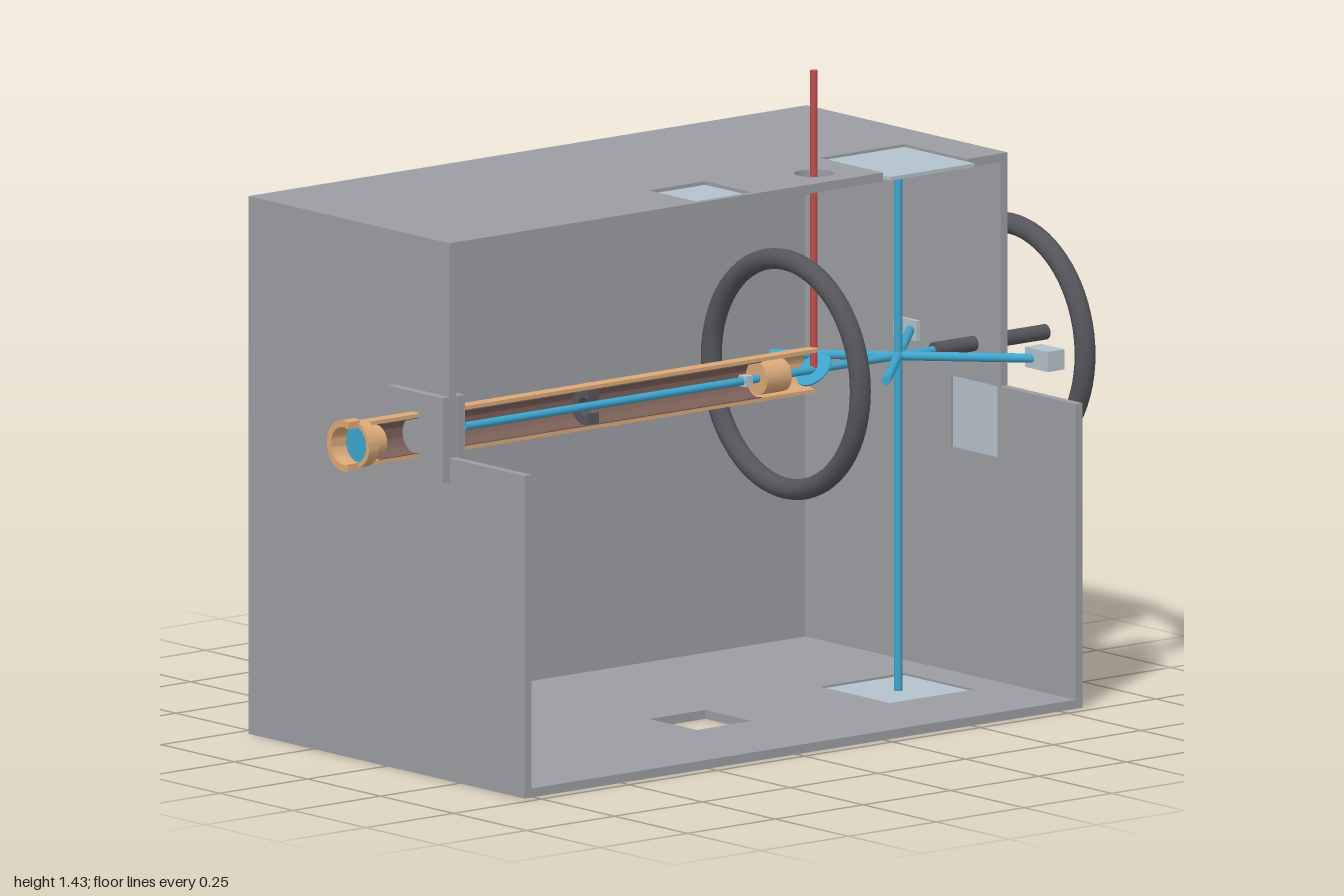
import * as THREE from 'three';
import { toCreasedNormals } from 'three/addons/utils/BufferGeometryUtils.js';

const CY = 0.762, CZ = 0.123; // optical axis height and depth

export function createModel() {
  const model = new THREE.Group();
  const mat = (name, color) => Object.assign(new THREE.MeshStandardMaterial({ color }), { name });
  const grey = mat('housingGrey', 0x9a9da2);
  const glass = mat('paleGlass', 0xb2c0ca);
  const dark = mat('darkRubber', 0x55545a);
  const copper = mat('copper', 0xd9a878);
  const brown = mat('innerBrown', 0x7a6058);
  const blue = mat('beamBlue', 0x3fa4cc);
  const red = mat('beamRed', 0xc04c4c);

  const add = (name, geo, material, x = 0, y = 0, z = 0) => {
    const mesh = new THREE.Mesh(geo, material);
    mesh.name = name;
    mesh.position.set(x, y, z);
    model.add(mesh);
    return mesh;
  };
  // Box given by its limits on each axis
  const box = (name, material, x0, x1, y0, y1, z0, z1) =>
    add(name, new THREE.BoxGeometry(x1 - x0, y1 - y0, z1 - z0), material, (x0 + x1) / 2, (y0 + y1) / 2, (z0 + z1) / 2);
  const poly = (pts) => new THREE.Shape(pts.map(([a, b]) => new THREE.Vector2(a, b)));
  const rect = (a0, a1, b0, b1) => poly([[a0, b0], [a1, b0], [a1, b1], [a0, b1]]);
  const extrude = (shape, depth) => new THREE.ExtrudeGeometry(shape, { depth, bevelEnabled: false, curveSegments: 32 });
  // Horizontal slab: outline in (x, -z)
  const slab = (name, shape, y) => add(name, extrude(shape, 0.02).rotateX(-Math.PI / 2), grey, 0, y, 0);
  // Side wall: outline in (z, y), growing towards -x from x
  const wall = (name, shape, x) => add(name, extrude(shape, 0.02).rotateY(-Math.PI / 2), grey, x, 0, 0);
  // Rod between two points
  const rod = (name, material, a, b, r) => {
    const p = new THREE.Vector3(...a), q = new THREE.Vector3(...b), d = q.clone().sub(p);
    const m = add(name, new THREE.CylinderGeometry(r, r, d.length(), 20), material);
    m.position.copy(p).add(q).multiplyScalar(0.5);
    m.quaternion.setFromUnitVectors(new THREE.Vector3(0, 1, 0), d.normalize());
    return m;
  };
  // Tube along x, cut open on its front
  const shell = (name, material, x0, x1, ro, ri, cut = 0.015) => {
    const a = Math.acos(cut / ro), b = Math.acos(cut / ri), s = new THREE.Shape();
    s.absarc(0, 0, ro, a, 2 * Math.PI - a, false);
    s.absarc(0, 0, ri, 2 * Math.PI - b, b, true);
    const g = toCreasedNormals(extrude(s, x1 - x0).rotateY(-Math.PI / 2), 0.6);
    return add(name, g, material, x1, CY, CZ);
  };

  // Housing
  const floor = rect(-0.775, 0.815, -0.472, 0.472);
  floor.holes.push(rect(-0.06, 0.1, -0.2, -0.04), rect(0.46, 0.7, -0.24, 0));
  slab('floor', floor, 0);
  const roof = poly([[-0.775, 0.472], [-0.775, -0.215], [0.46, -0.215], [0.46, 0], [0.7, 0], [0.7, -0.215], [0.815, -0.215], [0.815, 0.472]]);
  const rodHole = new THREE.Path();
  rodHole.absarc(0.34, -CZ, 0.043, 0, Math.PI * 2, true);
  roof.holes.push(rect(-0.06, 0.1, -0.2, -0.04), rodHole);
  slab('roof', roof, 1.18);
  box('backWall', grey, -0.755, 0.795, 0.02, 1.18, -0.472, -0.452);
  const side = (step) => poly([[-0.472, 0.02], [0.472, 0.02], [0.472, step], [0.215, step], [0.215, 1.18], [-0.472, 1.18]]);
  wall('leftEndWall', side(0.72), -0.755);
  const right = side(0.68);
  right.holes.push(rect(0.045, 0.205, 0.52, 0.679));
  wall('rightEndWall', right, 0.815);

  // Window panes
  box('roofSmallPane', glass, -0.06, 0.1, 1.184, 1.192, 0.04, 0.2);
  box('roofLargePane', glass, 0.46, 0.7, 1.186, 1.194, 0, 0.24);
  box('floorPane', glass, 0.46, 0.7, 0.007, 0.015, 0, 0.24);
  box('sidePane', glass, 0.801, 0.809, 0.52, 0.68, 0.045, 0.205);

  // Detector blocks on the side wall
  for (const z of [0.35, -0.1]) box('detectorBlock', glass, 0.785, 0.832, 0.74, 0.785, z - 0.039, z + 0.039);

  // Clamp plates holding the barrel
  for (const x of [-0.797, -0.755]) box('clampPlate', grey, x, x + 0.022, 0.667, 0.857, 0.03, 0.218);

  // Cut-open barrel with fittings
  shell('barrel', copper, -0.97, 0.34, 0.051, 0.043);
  shell('barrelLining', brown, -0.9, 0.18, 0.0435, 0.041);
  shell('barrelFlange', copper, -1, -0.965, 0.057, 0.042);
  shell('innerRing', dark, -0.315, -0.285, 0.042, 0.02);
  rod('barrelPlug', copper, [0.18, CY, CZ - 0.004], [0.25, CY, CZ - 0.004], 0.037);
  rod('rearPlug', copper, [-0.94, CY, CZ], [-0.905, CY, CZ], 0.036);
  const band = new THREE.Shape().absarc(0, 0, 0.052, 0, Math.PI * 2, false);
  band.holes.push(new THREE.Path().absarc(0, 0, 0.042, 0, Math.PI * 2, true));
  add('endBand', toCreasedNormals(extrude(band, 0.028).rotateY(-Math.PI / 2), 0.6), copper, -0.942, CY, CZ);
  rod('endLens', blue, [-0.958, CY, CZ], [-0.952, CY, CZ], 0.042);
  box('beamSleeve', glass, 0.135, 0.155, 0.75, 0.774, CZ - 0.012, CZ + 0.014);

  // Tilted mirror
  const mirror = add('mirror', new THREE.CylinderGeometry(0.045, 0.045, 0.004, 32), blue, 0.34, CY, CZ);
  mirror.rotation.z = Math.PI / 4;

  // Beams crossing at one point
  const cx = 0.58;
  rod('mainBeam', blue, [-0.655, CY, CZ], [0.79, CY, CZ], 0.009);
  rod('verticalBeam', blue, [cx, 0.015, CZ], [cx, 1.186, CZ], 0.009);
  for (const s of [1, -1])
    rod('diagonalBeam', blue, [cx - 0.2, CY, CZ + s * 0.2], [cx + 0.215, CY, CZ - s * 0.215], 0.01);
  rod('redBeam', red, [0.34, CY, CZ], [0.34, 1.43, CZ], 0.008);

  // Coil rings and shaft
  for (const x of [0.26, 0.9]) {
    add('coilRing', new THREE.TorusGeometry(0.255, 0.023, 20, 72), dark, x, CY, CZ).rotation.y = Math.PI / 2;
  }
  rod('shaft', dark, [0.68, CY, CZ], [1, CY, CZ], 0.017);
  rod('shaftHub', grey, [0.8, CY, CZ], [0.832, CY, CZ], 0.043);

  return model;
}
